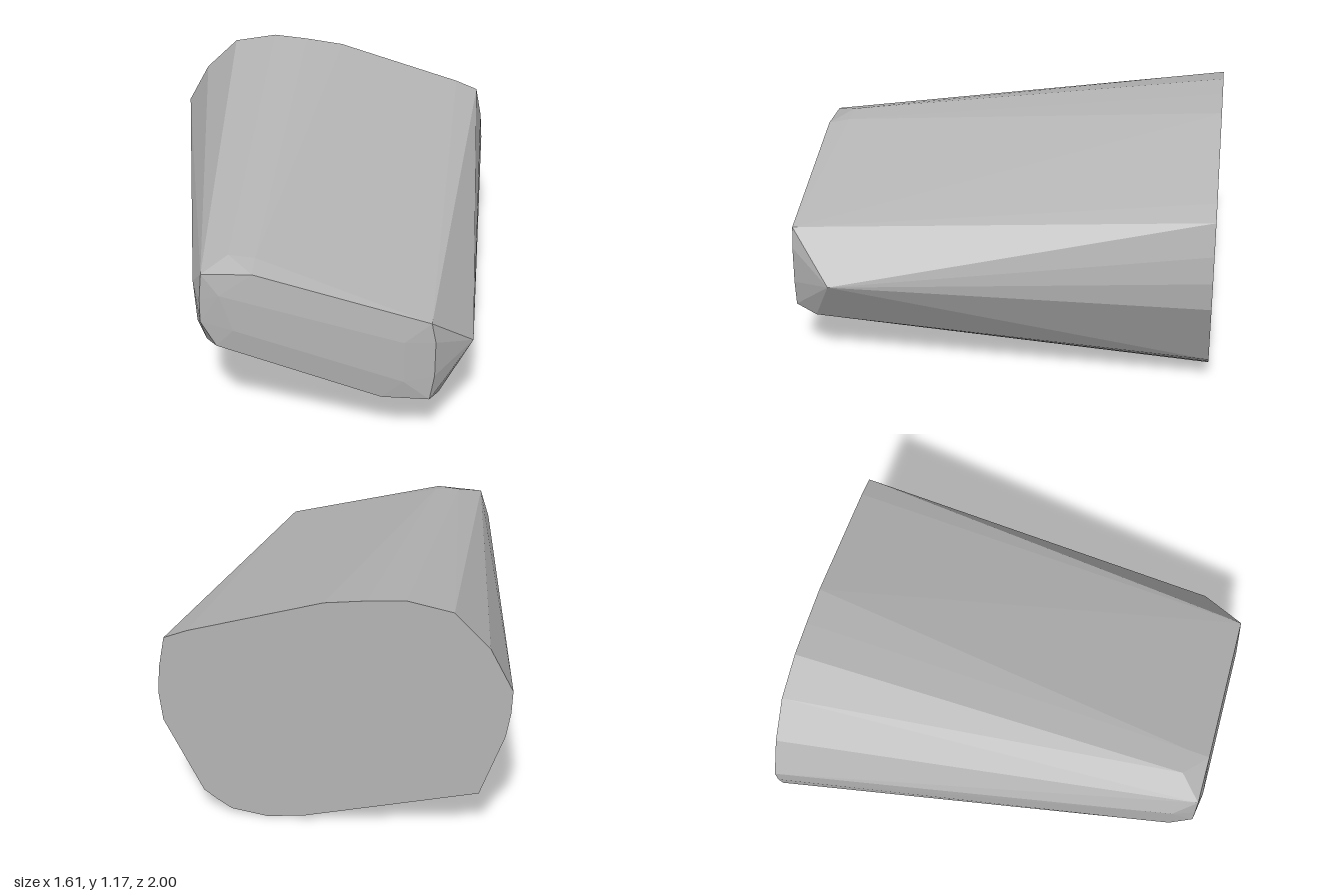
import * as THREE from 'three';
import { ConvexGeometry } from 'three/addons/geometries/ConvexGeometry.js';

export function createModel() {
  const group = new THREE.Group();
  const grey = new THREE.MeshStandardMaterial({ color: 0xb4b4b4 });
  grey.name = 'plain grey';

  // Cross-sections as [x, y] corners at a given depth
  const sections = [
    // flat back end
    { z: -1, corners: [
      [-0.67, 0.24], [-0.78, 0.55], [-0.80, 0.67], [-0.805, 0.78], [-0.70, 0.98],
      [-0.54, 1.14], [-0.33, 1.18], [-0.16, 1.165], [0.03, 1.14], [0.65, 0.95],
      [0.76, 0.905], [0.79, 0.75], [0.80, 0.62], [0.785, 0.48], [0.61, 0.12],
      [0.55, 0.075], [0.48, 0.03], [0.31, 0.005], [0.13, 0.03]] },
    // corners on the left flank
    { z: 0.68, corners: [[0.69, 0.36]] },
    { z: 0.78, corners: [[0.78, 0.47]] },
    // shoulder behind the nose
    { z: 0.88, corners: [
      [-0.44, 0.47], [-0.48, 0.57], [-0.495, 0.78], [-0.33, 0.925], [-0.21, 0.915],
      [0.40, 0.245], [0.63, 0.24]] },
    // rim of the nose
    { z: 0.985, corners: [
      [-0.45, 0.63], [-0.45, 0.75], [-0.44, 0.88], [-0.21, 0.89], [0.59, 0.68],
      [0.61, 0.58], [0.61, 0.40], [0.59, 0.27], [0.37, 0.27], [-0.25, 0.48],
      [-0.38, 0.505]] },
    // slight bulge of the front face
    { z: 1, corners: [[-0.36, 0.78], [-0.30, 0.6], [0.47, 0.58], [0.47, 0.37]] },
  ];

  const points = sections.flatMap(({ z, corners }) =>
    corners.map(([x, y]) => new THREE.Vector3(x, y, z)));

  const body = new THREE.Mesh(new ConvexGeometry(points), grey);
  body.name = 'taperedBlock';
  group.add(body);
  return group;
}
